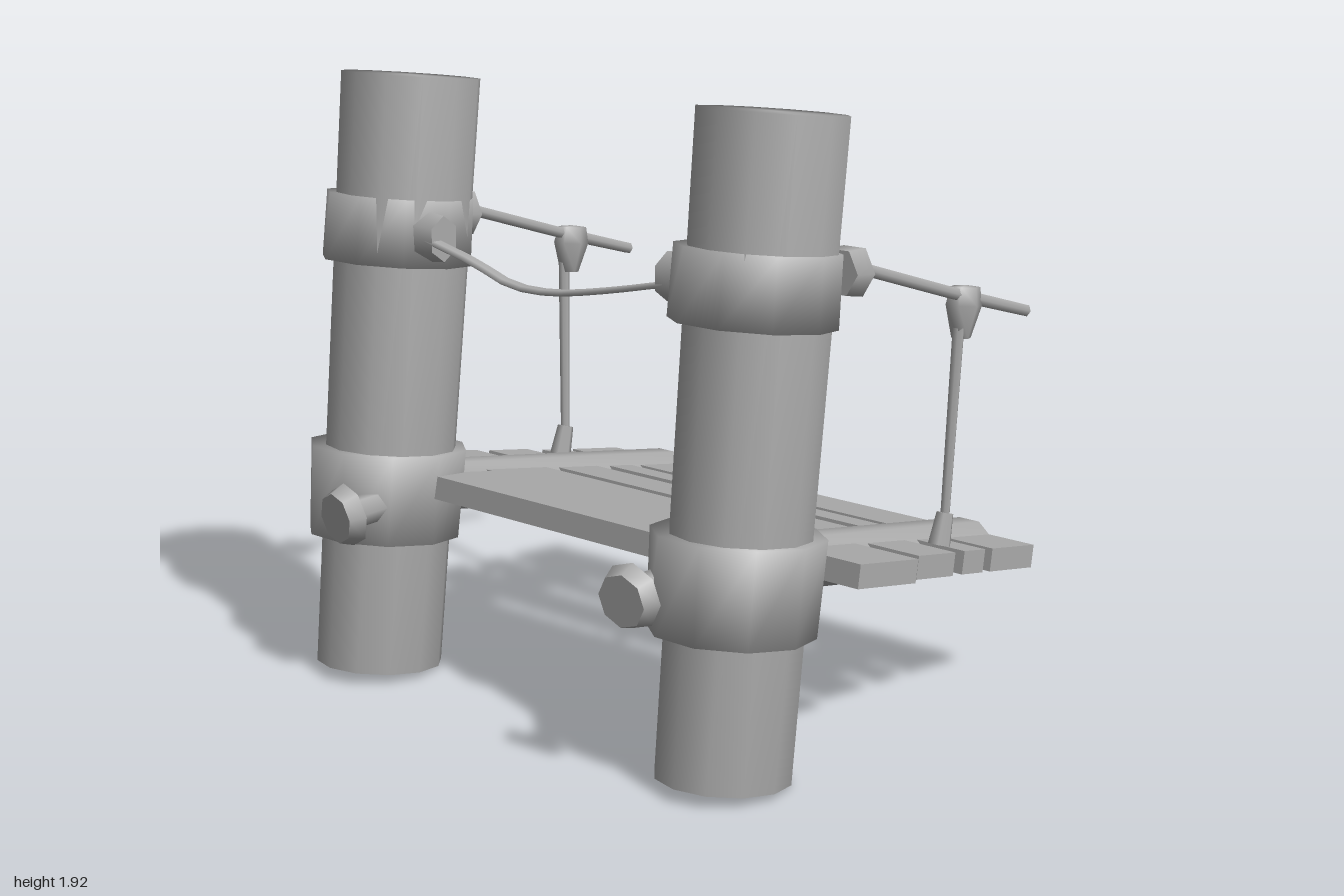
import * as THREE from 'three';
import { mergeVertices } from 'three/addons/utils/BufferGeometryUtils.js';

const stone = new THREE.MeshStandardMaterial({ color: 0xaaaaaa });
stone.name = 'plain grey';

// Weld a geometry so that its shading runs softly over the rims
function soft(geometry) {
  geometry.deleteAttribute('normal');
  geometry.deleteAttribute('uv');
  const welded = mergeVertices(geometry, 1e-4);
  welded.computeVertexNormals();
  return welded;
}

function add(parent, name, geometry, x = 0, y = 0, z = 0) {
  const mesh = new THREE.Mesh(geometry, stone);
  mesh.name = name;
  mesh.position.set(x, y, z);
  parent.add(mesh);
  return mesh;
}

// Straight tapered bar from a to b
function bar(parent, name, a, b, ra, rb, sides = 6) {
  const start = new THREE.Vector3(...a), end = new THREE.Vector3(...b);
  const dir = end.clone().sub(start);
  const mesh = add(parent, name, new THREE.CylinderGeometry(rb, ra, dir.length(), sides));
  mesh.position.copy(start).add(end).multiplyScalar(0.5);
  mesh.quaternion.setFromUnitVectors(new THREE.Vector3(0, 1, 0), dir.normalize());
  return mesh;
}

const deckSlope = 0.15;

function buildPost(root, s) {
  const post = new THREE.Group();
  post.name = s > 0 ? 'frontPost' : 'backPost';
  post.position.set(-0.5175, 0.02, s > 0 ? 0.765 : -0.727);
  post.rotation.z = -0.1;
  root.add(post);
  const trunk = add(post, 'trunk', soft(new THREE.CylinderGeometry(0.226, 0.207, 1.885, 12)), 0, 0.9425, 0);
  trunk.scale.z = 0.94;
  // Wrapped collars
  const zc = s > 0 ? -0.015 : -0.022;
  add(post, 'upperCollar', soft(new THREE.CylinderGeometry(0.236, 0.24, 0.21, 10)), -0.001, 1.402, zc);
  const low = add(post, 'lowerCollar', soft(new THREE.CylinderGeometry(0.262, 0.252, 0.285, 10)), 0.008, 0.562, zc);
  low.scale.z = 0.94;
}

function buildSide(root, s) {
  buildPost(root, s);

  // Deck beam, running down towards its open end
  const len = 1.175;
  const beamGeo = new THREE.CylinderGeometry(0.085, 0.085, len, 8, 1, true);
  beamGeo.rotateZ(-Math.PI / 2);
  beamGeo.rotateX(Math.PI / 8);
  beamGeo.scale(1, 1, 1.18);
  const p = beamGeo.attributes.position;
  for (let i = 0; i < p.count; i++) p.setY(i, p.getY(i) - deckSlope * p.getX(i));
  beamGeo.computeVertexNormals();
  add(root, 'deckBeam', beamGeo, 0.775 - len / 2, 0.415 + deckSlope * len / 2, s * 0.66);

  // Peg behind the lower collar
  bar(root, 'pegStem', [-0.55, 0.58, s * 0.61], [-0.73, 0.57, s * 0.61], 0.05, 0.05);
  const head = bar(root, 'pegHead', [-0.725, 0.57, s * 0.61], [-0.775, 0.565, s * 0.615], 0.1, 0.08, 8);
  head.name = 'pegHead';

  // Hand rope with its end knob
  const z = s * 0.815;
  bar(root, 'handRopeKnob', [-0.03, 1.42, z], [-0.1, 1.425, z], 0.08, 0.073);
  bar(root, 'ropeAnchor', [-0.06, 1.44, z], [-0.118, 1.456, z], 0.018, 0.018);
  bar(root, 'handRope', [-0.05, 1.438, s * 0.825], [0.46, 1.285, s * 0.84], 0.02, 0.02);
  bar(root, 'handRope', [0.46, 1.285, s * 0.84], [0.775, 1.198, s * 0.85], 0.022, 0.02);

  // Hanger rope and its two knots
  const foot = s > 0 ? 0.84 : -0.795;
  const knot = bar(root, 'upperKnot', [0.465, 1.155, s * 0.835], [0.482, 1.315, s * 0.835], 0.038, 0.06);
  knot.geometry = soft(new THREE.LatheGeometry([
    [0, -0.08], [0.036, -0.08], [0.068, 0.02], [0.055, 0.075], [0, 0.08],
  ].map(([r, y]) => new THREE.Vector2(r, y)), 6));
  knot.scale.z = 0.72;
  bar(root, 'hangerRope', [0.4, 0.59, foot], [0.445, 1.19, s * 0.84], 0.015, 0.019);
  bar(root, 'lowerKnot', [0.376, 0.53, foot], [0.402, 0.625, foot], 0.037, 0.028);

  // Knob on the inner face of the upper collar
  const inner = bar(root, 'crossRopeKnob', [-0.435, 1.415, s * 0.55], [-0.435, 1.415, s * 0.47], 0.08, 0.072);
  inner.scale.x = 0.8;
}

export function createModel() {
  const root = new THREE.Group();
  root.name = 'bridgeEnd';
  for (const s of [1, -1]) buildSide(root, s);

  // Deck planks: x start, x end, z back, z front
  const planks = [
    [-0.46, -0.16, -0.56, 0.58],
    [-0.17, 0.11, -0.935, 0.965],
    [0.155, 0.345, -0.93, 0.925],
    [0.395, 0.51, -0.915, 0.915],
    [0.545, 0.775, -0.915, 0.91],
  ];
  for (const [x0, x1, z0, z1] of planks) {
    const x = (x0 + x1) / 2;
    const plank = add(root, 'deckPlank', new THREE.BoxGeometry(x1 - x0 - 0.008, 0.072, z1 - z0),
      x, 0.422 + 0.163 * (0.775 - x), (z0 + z1) / 2);
    plank.rotation.z = -0.155;
  }

  // Flat rope sagging between the posts
  const sag = new THREE.CatmullRomCurve3([
    [1.41, -0.5], [1.365, -0.3], [1.318, -0.14], [1.315, 0.03], [1.347, 0.24], [1.4, 0.5],
  ].map(([y, z]) => new THREE.Vector3(0, y, z)));
  const rope = add(root, 'crossRope', new THREE.TubeGeometry(sag, 12, 0.01, 6), -0.462, 0, 0);
  rope.scale.x = 2.8;
  return root;
}
